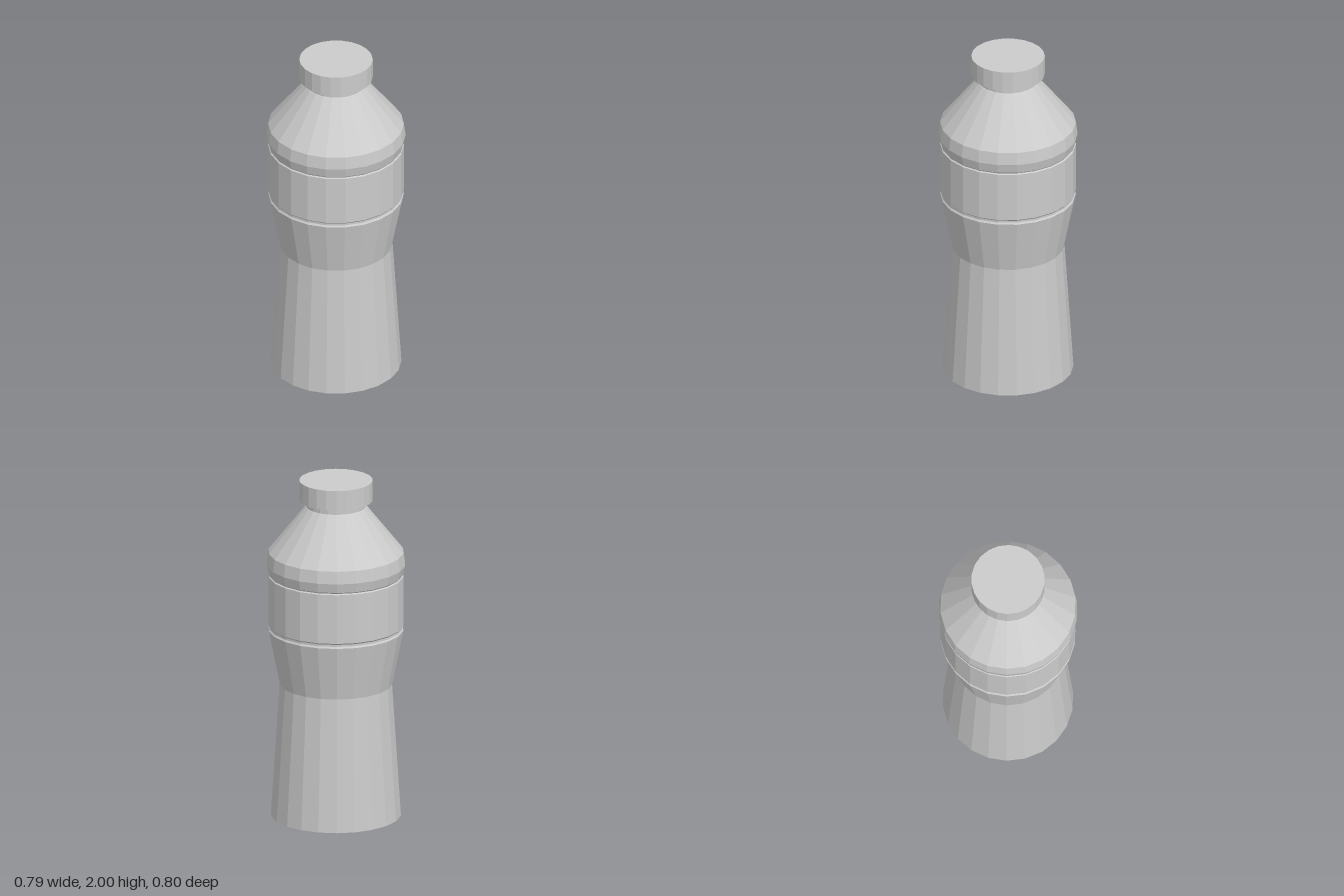
import * as THREE from 'three';

const SIDES = 22;
const material = new THREE.MeshStandardMaterial({ color: 0xcccccc, flatShading: true });

// Turns a [radius, height] profile, listed bottom to top, into a faceted part
function turned(name, profile) {
  const points = profile.map(([r, y]) => new THREE.Vector2(r, y));
  const mesh = new THREE.Mesh(new THREE.LatheGeometry(points, SIDES), material);
  mesh.name = name;
  return mesh;
}

export function createModel() {
  const bottle = new THREE.Group();
  bottle.name = 'bottle';

  // Closed base, tapered grip and flare up to the lower groove
  bottle.add(turned('lowerBody', [
    [0, 0], [0.374, 0], [0.323, 0.785], [0.388, 1.11], [0.381, 1.12], [0.381, 1.132],
  ]));

  // Straight band between the two grooves
  bottle.add(turned('labelBand', [
    [0.381, 1.132], [0.388, 1.14], [0.388, 1.432], [0.381, 1.438],
  ]));

  // Bulging rim and conical shoulder
  bottle.add(turned('shoulder', [
    [0.381, 1.438], [0.386, 1.445], [0.398, 1.5], [0.388, 1.573], [0.175, 1.842], [0.171, 1.845],
  ]));

  // Short neck
  bottle.add(turned('neck', [[0.171, 1.845], [0.171, 1.885]]));

  // Screw cap
  bottle.add(turned('cap', [[0, 1.882], [0.21, 1.882], [0.21, 2], [0, 2]]));

  return bottle;
}
